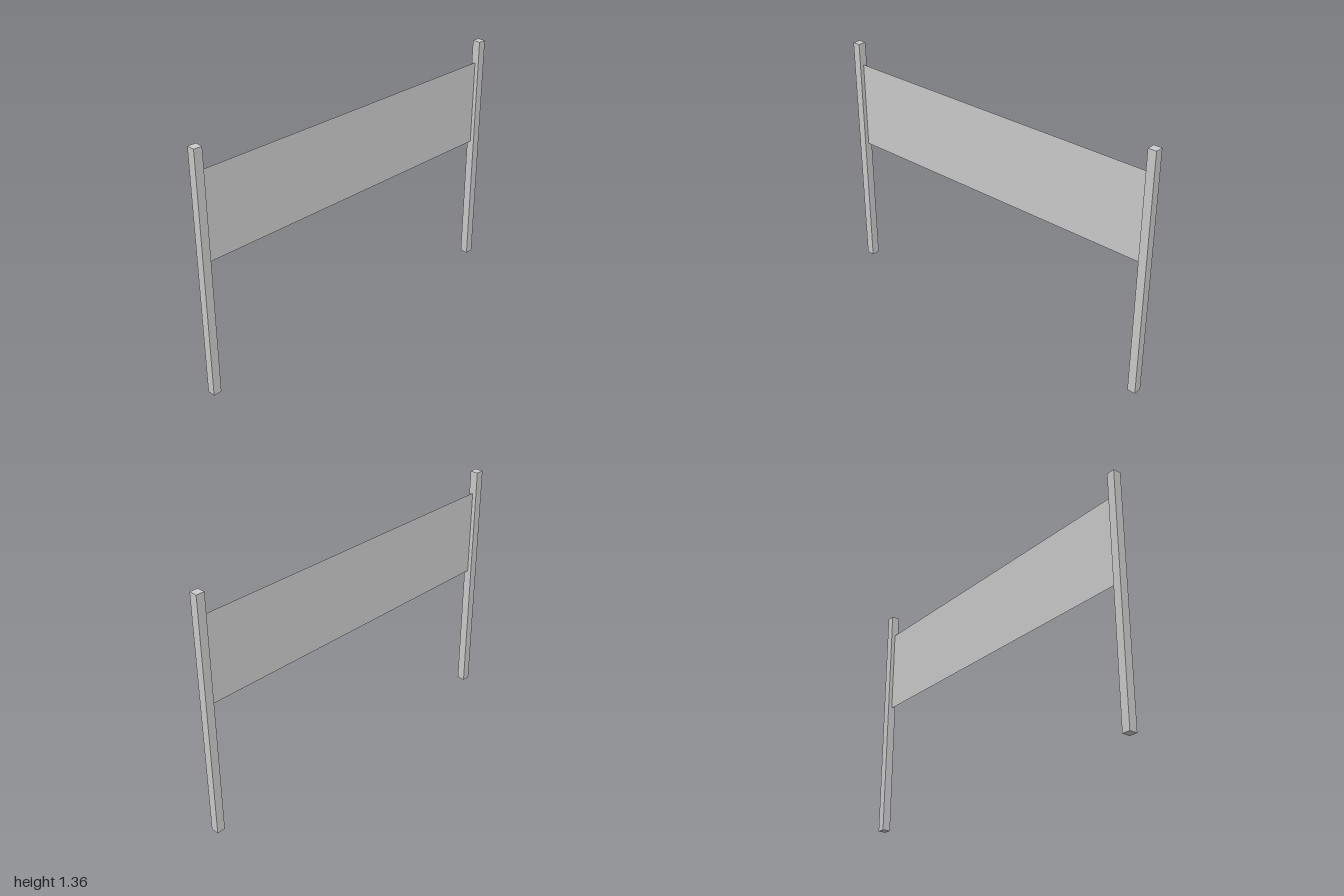
import * as THREE from 'three';

export function createModel() {
  const group = new THREE.Group();
  const material = new THREE.MeshStandardMaterial({ color: 0xcccccc, flatShading: true });
  const sheet = new THREE.MeshStandardMaterial({ color: 0xcccccc, side: THREE.DoubleSide });
  const post = 0.046, height = 1.36, panelBottom = 0.75, panelTop = 1.235;

  // Two square posts, one at each end
  for (const [name, side] of [['frontPost', 1], ['backPost', -1]]) {
    const mesh = new THREE.Mesh(new THREE.BoxGeometry(post, height, post), material);
    mesh.name = name;
    mesh.position.set(0, height / 2, side * (1 - post / 2));
    group.add(mesh);
  }

  // Thin sheet stretched between the posts
  const panel = new THREE.Mesh(
    new THREE.PlaneGeometry(2 - 2 * post, panelTop - panelBottom), sheet);
  panel.name = 'panel';
  panel.rotation.y = Math.PI / 2;
  panel.position.y = (panelBottom + panelTop) / 2;
  group.add(panel);

  return group;
}
